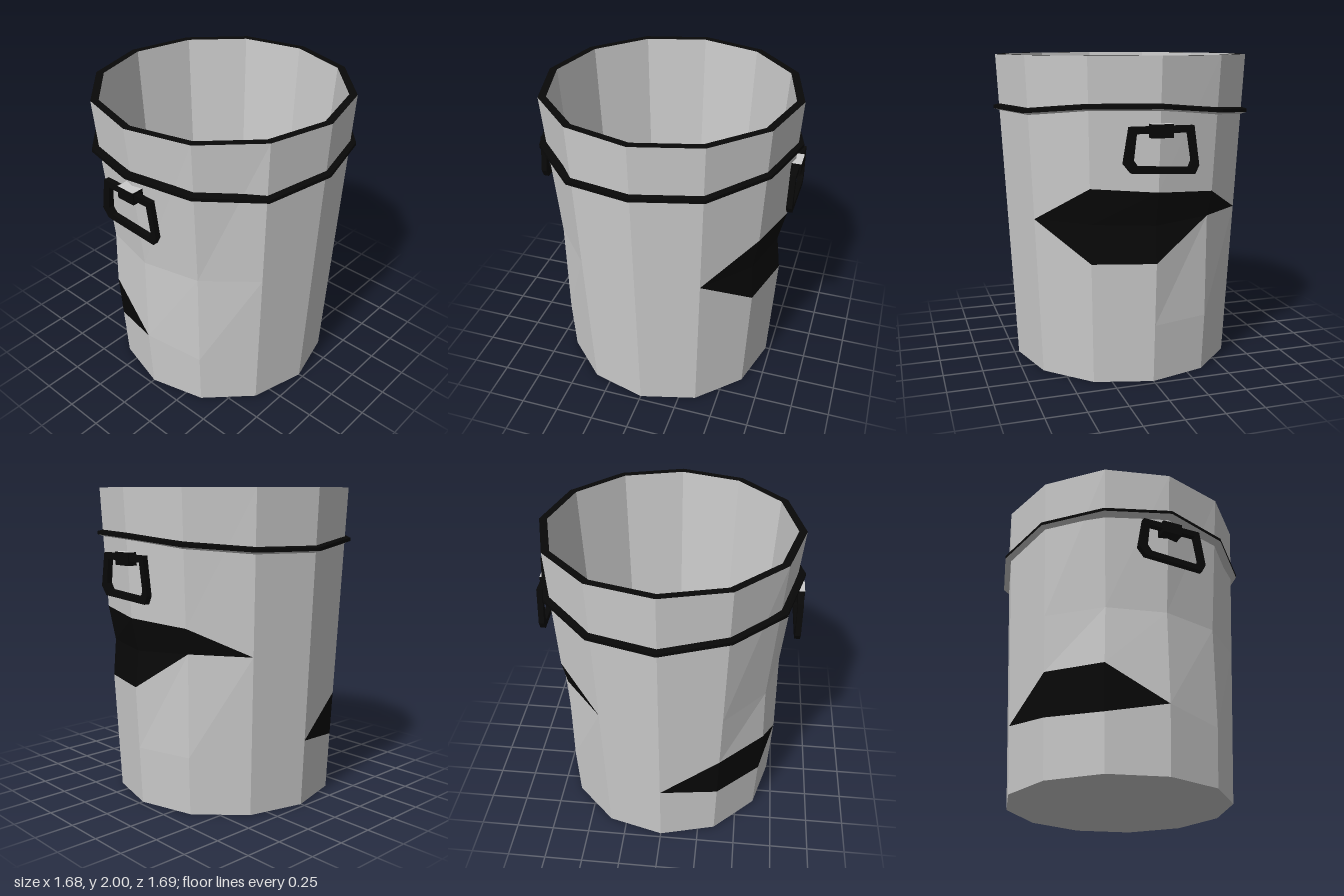
import * as THREE from 'three';

const SIDES = 12;
const grey = new THREE.MeshStandardMaterial({ color: 0xcccccc, flatShading: true });
const dark = new THREE.MeshStandardMaterial({ color: 0x080808, flatShading: true });

// Point on column k; column 0 faces +z, column 3 faces +x
function point(k, r, y) {
  const a = (k % SIDES) * Math.PI * 2 / SIDES;
  return new THREE.Vector3(r * Math.sin(a), y, r * Math.cos(a));
}

const ring = (r, y) => Array.from({ length: SIDES }, (_, k) =>
  point(k, r, typeof y === 'function' ? y(k) : y));

// Add a triangle unless it has collapsed
function addTriangle(list, a, b, c) {
  const area = b.clone().sub(a).cross(c.clone().sub(a)).length();
  if (area > 1e-6) list.push(a, b, c);
}

// Add the facet between columns k and k + 1 of two rings
function addFacet(list, low, high, k) {
  const n = (k + 1) % SIDES;
  addTriangle(list, low[k], low[n], high[n]);
  addTriangle(list, low[k], high[n], high[k]);
}

// Skin a chain of rings, running along the profile
function skin(rings) {
  const list = [];
  for (let i = 0; i + 1 < rings.length; i++)
    for (let k = 0; k < SIDES; k++) addFacet(list, rings[i], rings[i + 1], k);
  return list;
}

function makeMesh(name, points, material) {
  const geometry = new THREE.BufferGeometry().setFromPoints(points);
  geometry.computeVertexNormals();
  const mesh = new THREE.Mesh(geometry, material);
  mesh.name = name;
  return mesh;
}

// Wall heights per column: three for the lower patch, three for the upper one
const lowerRows = { 9: [.43, .43, .43], 10: [.375, .48, .66], 11: [.36, .45, .66], 0: [.43, .43, .43] };
const upperRows = {
  4: [1.01, 1.01, 1.01], 5: [.77, 1.01, 1.235], 6: [.77, 1, 1.21],
  7: [1.02, 1.02, 1.18], 8: [1.01, 1.01, 1.01],
};

// Tapered wall, pressed in at mid height on front and back
function wallRadius(k, y) {
  const facing = Math.abs(Math.cos(k * Math.PI / 6));
  const press = Math.max(0, 2 * facing - 1) * Math.max(0, 1 - Math.abs(y - 1.02) / 0.2);
  return 0.72 + 0.05 * y - 0.043 * press;
}

function buildWall(group) {
  const heights = Array.from({ length: SIDES }, (_, k) => [
    0, ...(lowerRows[k] || [.37, .37, .37]), ...(upperRows[k] || [1.03, 1.03, 1.03]), 2]);
  const rows = heights[0].map((_, i) =>
    heights.map((h, k) => point(k, wallRadius(k, h[i]), h[i])));
  const plain = [], lower = [], upper = [];
  for (let i = 0; i + 1 < rows.length; i++) {
    const target = i === 1 || i === 2 ? lower : i === 4 || i === 5 ? upper : plain;
    for (let k = 0; k < SIDES; k++) addFacet(target, rows[i], rows[i + 1], k);
  }
  group.add(makeMesh('outerWall', plain, grey));
  group.add(makeMesh('lowerDarkPatch', lower, dark));
  group.add(makeMesh('upperDarkPatch', upper, dark));
}

// Thin frame with a hanging bracket; built on the front, rotated for the back
function buildHandle(name) {
  const group = new THREE.Group();
  group.name = name;
  const outer = [[-.195, 1.605], [-.23, 1.395], [-.185, 1.34], [.205, 1.32], [.23, 1.37], [.195, 1.605]];
  const inner = [[-.155, 1.565], [-.172, 1.415], [-.145, 1.378], [.17, 1.36], [.187, 1.4], [.16, 1.565]];
  const toPoints = list => list.map(([x, y]) => new THREE.Vector2(x, y));
  const shape = new THREE.Shape(toPoints(outer));
  shape.holes.push(new THREE.Path(toPoints(inner)));
  const frame = new THREE.Mesh(
    new THREE.ExtrudeGeometry(shape, { depth: 0.036, bevelEnabled: false }), dark);
  frame.name = 'handleFrame';
  frame.position.z = 0.797;

  // Bracket with a grey top face
  const bracket = new THREE.Mesh(new THREE.BoxGeometry(0.13, 0.08, 0.08),
    [dark, dark, grey, dark, dark, dark]);
  bracket.name = 'handleBracket';
  bracket.position.set(0, 1.578, 0.803);
  group.add(frame, bracket);
  return group;
}

export function createModel() {
  const model = new THREE.Group();
  model.name = 'bucket';
  buildWall(model);

  // Rim, inside wall, floor and underside
  model.add(makeMesh('rim', skin([ring(0.82, 2), ring(0.77, 2)]), dark));
  model.add(makeMesh('innerWall', skin([ring(0.77, 2), ring(0.655, 0.06)]), grey));
  model.add(makeMesh('floor', skin([ring(0.655, 0.06), ring(0, 0.06)]), grey));
  model.add(makeMesh('underside', skin([ring(0, 0), ring(0.72, 0)]), grey));

  // Uneven band around the upper wall, grey on its underside
  const bandHeights = [1.70, 1.675, 1.645, 1.675, 1.675, 1.715, 1.715, 1.675, 1.645, 1.64, 1.675, 1.675];
  const bandRing = (r, offset) => ring(r, k => bandHeights[k] + offset);
  model.add(makeMesh('band', skin([
    bandRing(0.84, -0.012), bandRing(0.84, 0.01), bandRing(0.785, 0.022)]), dark));
  model.add(makeMesh('bandUnderside', skin([bandRing(0.785, -0.03), bandRing(0.84, -0.012)]), grey));

  // Handles
  const backHandle = buildHandle('backHandle');
  backHandle.rotation.y = Math.PI;
  model.add(buildHandle('frontHandle'), backHandle);
  return model;
}
